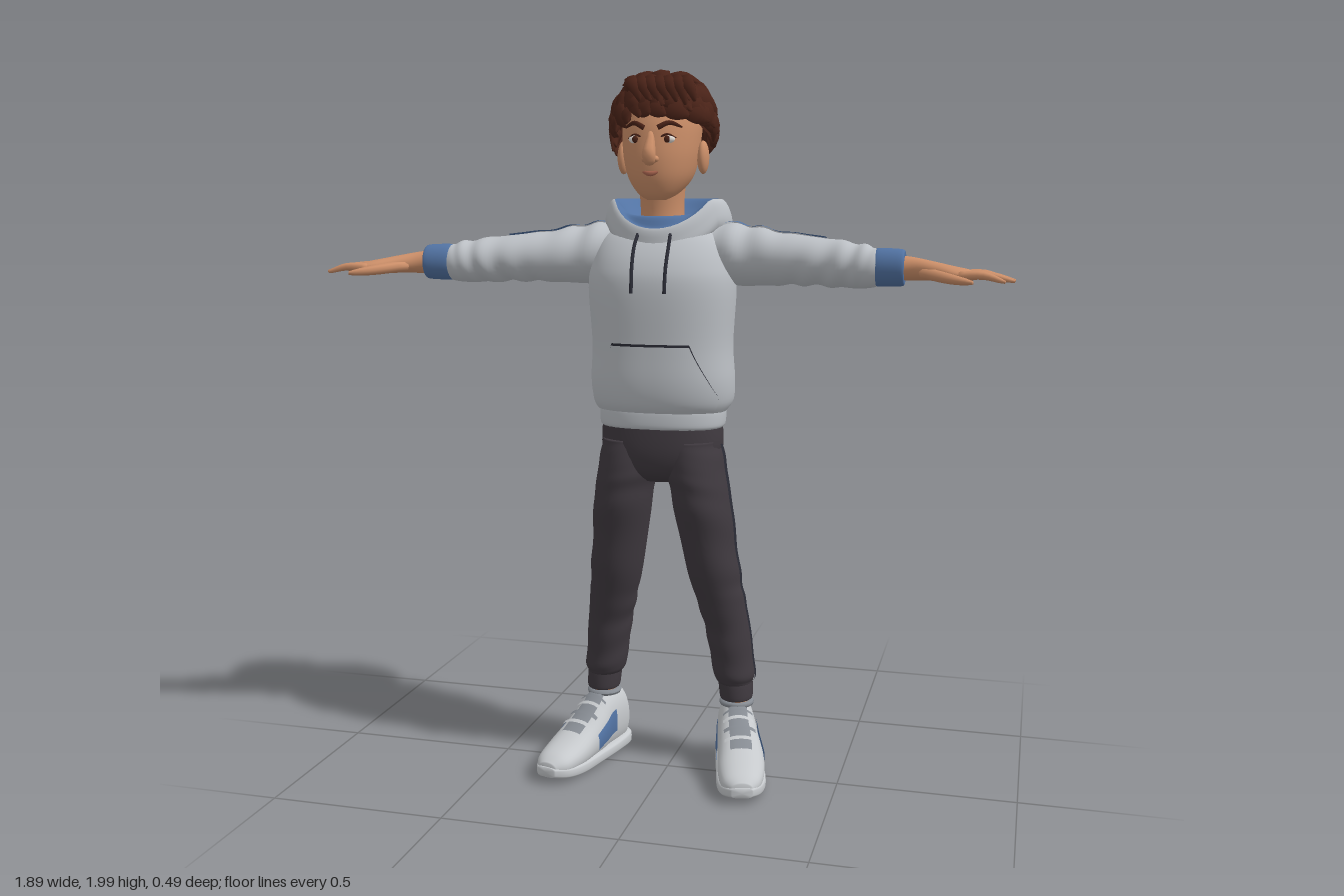
import * as THREE from 'three';
import { mergeGeometries } from 'three/addons/utils/BufferGeometryUtils.js';

const V = (x, y, z) => new THREE.Vector3(x, y, z);
const rad = THREE.MathUtils.degToRad;
const mat = (name, color, side = THREE.FrontSide) => {
  const m = new THREE.MeshStandardMaterial({ color, side });
  m.name = name;
  return m;
};

// Surface from a rule f(t, u); rings may be closed and capped
function grid(nu, nv, closed, caps, f) {
  const pos = [], idx = [], n = closed ? nu : nu + 1;
  for (let j = 0; j <= nv; j++)
    for (let i = 0; i < n; i++) pos.push(...f(j / nv, i / nu).toArray());
  const at = (j, i) => j * n + (closed ? i % nu : i);
  for (let j = 0; j < nv; j++)
    for (let i = 0; i < nu; i++) {
      const a = at(j, i), b = at(j, i + 1), c = at(j + 1, i), d = at(j + 1, i + 1);
      idx.push(a, b, c, b, d, c);
    }
  [0, nv].forEach((j, end) => {
    if (!closed || !caps[end]) return;
    const mid = V(0, 0, 0), k = pos.length / 3;
    for (let i = 0; i < nu; i++) mid.add(V(0, 0, 0).fromArray(pos, at(j, i) * 3));
    pos.push(...mid.divideScalar(nu).toArray());
    for (let i = 0; i < nu; i++)
      end ? idx.push(at(j, i), at(j, i + 1), k) : idx.push(at(j, i + 1), at(j, i), k);
  });
  const g = new THREE.BufferGeometry();
  g.setAttribute('position', new THREE.Float32BufferAttribute(pos, 3));
  g.setIndex(idx);
  g.computeVertexNormals();
  return g;
}

// Smooth loft. Rows: [along axis, centre u, centre v, radius u, radius v]
// u,v are (z,x) for axis y, (y,z) for axis x, (x,y) for axis z
function loft(axis, rows, o = {}) {
  const { p = 2, from = 0, to = rows.length - 1, arc, lift = 0, fold = 0, caps = [1, 1], nu = 32, post } = o;
  const nv = Math.max(2, Math.ceil((to - from) * (fold ? 9 : 5)));
  const row = (t) => {
    const k = Math.min(Math.floor(t), rows.length - 2), s = t - k;
    const R = (i) => rows[THREE.MathUtils.clamp(i, 0, rows.length - 1)];
    return rows[0].map((_, c) => {
      const a = R(k - 1)[c], b = R(k)[c], d = R(k + 1)[c], e = R(k + 2)[c];
      return b + 0.5 * s * (d - a + s * (2 * a - 5 * b + 4 * d - e + s * (3 * (b - d) + e - a)));
    });
  };
  const sp = (x) => Math.sign(x) * Math.abs(x) ** (2 / p);
  return grid(nu, nv, !arc, caps, (tt, uu) => {
    const t = from + (to - from) * tt;
    const [w, cu, cv, ru, rv] = row(t);
    const [a0, a1] = arc ? arc(t).map(rad) : [0, Math.PI * 2];
    const a = a0 + (a1 - a0) * uu;
    const k = 1 + fold * Math.sin(t * 7 + 1.6 * Math.sin(a + t)) * Math.sin(a * 0.5 + t) ** 2;
    const u = cu + (ru * k + lift) * sp(Math.cos(a)), v = cv + (rv * k + lift) * sp(Math.sin(a));
    const q = axis === 'y' ? V(v, w, u) : axis === 'x' ? V(w, u, v) : V(u, v, w);
    if (post) post(q);
    return q;
  });
}

// Tapered strand along a curve: w = half width, h = half thickness
function strand(pts, up, w, h, size = (t) => Math.sqrt(1 - t * t * 0.9), nv = 8, nu = 8) {
  const c = new THREE.CatmullRomCurve3(pts);
  return grid(nu, nv, true, [1, 1], (t, u) => {
    const d = c.getTangent(t), side = d.clone().cross(up).normalize();
    const n = side.clone().cross(d), a = u * Math.PI * 2, s = size(t);
    return c.getPoint(t).addScaledVector(n, Math.cos(a) * h * s).addScaledVector(side, Math.sin(a) * w * s);
  });
}

function ball(x, y, z, sx, sy, sz) {
  return new THREE.SphereGeometry(1, 20, 14).scale(sx, sy, sz).translate(x, y, z);
}

// Mirrored copy across x with corrected winding
function mirrorX(group, name) {
  const out = new THREE.Group();
  out.name = name;
  group.updateMatrixWorld(true);
  group.traverse((m) => {
    if (!m.isMesh) return;
    const g = m.geometry.clone().applyMatrix4(m.matrixWorld).scale(-1, 1, 1);
    const ix = g.index.array;
    for (let i = 0; i < ix.length; i += 3) [ix[i], ix[i + 1]] = [ix[i + 1], ix[i]];
    g.computeVertexNormals();
    const c = new THREE.Mesh(g, m.material);
    c.name = m.name;
    out.add(c);
  });
  return out;
}

export function createModel() {
  const cloth = mat('hoodie grey', 0xbcc0c5), pants = mat('trouser charcoal', 0x403a40);
  const hair = mat('hair brown', 0x4a2318), skin = mat('skin', 0xcc8f69);
  const blue = mat('trim blue', 0x5273a3, THREE.DoubleSide), dark = mat('dark trim', 0x2b2c36);
  const shoe = mat('shoe grey', 0xc6c9cc), lace = mat('lace grey', 0x878c93);
  const white = mat('eye white', 0xe6e0da), lip = mat('lips', 0xab6650);
  const model = new THREE.Group(), body = new THREE.Group();
  model.name = 'youngMan';
  body.name = 'body';
  body.position.x = -0.016;
  model.add(body);
  const add = (parent, name, g, m) => {
    const mesh = new THREE.Mesh(g, m);
    mesh.name = name;
    parent.add(mesh);
    return mesh;
  };
  const part = (name) => Object.assign(new THREE.Group(), { name });
  const UP = V(0, 1, 0), FRONT = V(0, 0, 1);

  // Hoodie body, hem and pocket
  const torso = [[1.06, -.015, 0, .122, .18], [1.09, -.02, 0, .147, .198], [1.15, -.012, 0, .15, .203],
    [1.25, -.008, 0, .148, .198], [1.4, -.005, 0, .15, .207], [1.47, -.012, 0, .142, .2],
    [1.53, -.025, 0, .118, .18], [1.565, -.035, 0, .088, .14], [1.58, -.04, 0, .05, .08]];
  add(body, 'hoodieBody', loft('y', torso, { p: 2.3, nu: 48 }), cloth);
  add(body, 'hoodieHem', loft('y', [[1.015, -.01, 0, .112, .172], [1.025, -.01, 0, .12, .178],
    [1.06, -.012, 0, .122, .18], [1.075, -.012, 0, .118, .175]], { p: 2.3, nu: 48 }), cloth);
  const half = (t) => (t < 1.4 ? 57 : 57 - (t - 1.4) / 1.6 * 28);
  add(body, 'pocketSeam', loft('y', torso, { p: 2.3, from: .3, to: 3.05, lift: .004, arc: (t) => [-half(t) - 1.3, half(t) + 1.3] }), dark);
  add(body, 'pocket', loft('y', torso, { p: 2.3, from: .3, to: 3, lift: .008, arc: (t) => [-half(t), half(t)] }), cloth);

  // Hood lying on the back, with lining
  const hood = [[1.41, -.14, 0, .04, .04], [1.45, -.145, 0, .08, .1], [1.51, -.12, 0, .122, .15],
    [1.57, -.08, 0, .167, .178], [1.62, -.07, 0, .165, .17], [1.645, -.06, 0, .148, .148],
    [1.615, -.045, 0, .115, .115], [1.59, -.03, 0, .08, .085]];
  const drop = (k) => (q) => { q.y -= k * Math.max(0, q.z); };
  add(body, 'hood', loft('y', hood, { to: 5, caps: [1, 0], post: drop(.9), nu: 40 }), cloth);
  add(body, 'hoodLining', loft('y', hood, { from: 5, caps: [0, 1], nu: 40,
    post: (q) => drop(.9 * THREE.MathUtils.smoothstep(q.y, 1.595, 1.645))(q) }), blue);

  // Head and neck
  add(body, 'neck', loft('y', [[1.54, -.005, 0, .066, .064], [1.62, -.005, 0, .062, .06], [1.72, 0, 0, .07, .068]]), skin);
  add(body, 'head', loft('y', [[1.642, .052, 0, .03, .025], [1.66, .035, 0, .066, .055], [1.7, .013, 0, .106, .085],
    [1.75, .004, 0, .121, .1], [1.8, 0, 0, .121, .106], [1.85, -.01, 0, .122, .108],
    [1.9, -.02, 0, .11, .1], [1.95, -.025, 0, .07, .06]], { p: 2.1 }), skin);
  add(body, 'nose', strand([V(0, 1.82, .112), V(0, 1.785, .128), V(0, 1.758, .138), V(0, 1.742, .122)],
    FRONT, .017, .016, (t) => .45 + .65 * Math.sin(t * 2.4)), skin);
  add(body, 'mouth', strand([V(-.034, 1.723, .111), V(0, 1.712, .121), V(.034, 1.723, .111)],
    FRONT, .006, .005, (t) => .2 + Math.sin(t * Math.PI)), lip);
  const face = part('leftFace');
  add(face, 'ear', ball(.113, 1.757, -.012, .016, .045, .028), skin);
  add(face, 'nostril', ball(.014, 1.75, .122, .01, .009, .012), skin);
  add(face, 'eyeWhite', ball(.045, 1.802, .106, .019, .011, .009), white);
  add(face, 'iris', ball(.044, 1.802, .1125, .0085, .0095, .005), hair);
  add(face, 'eyelid', strand([V(.024, 1.807, .112), V(.045, 1.815, .113), V(.067, 1.805, .1)], FRONT, .003, .004), hair);
  add(face, 'eyebrow', strand([V(.019, 1.832, .116), V(.048, 1.845, .106), V(.078, 1.834, .084)], FRONT, .007, .005), hair);
  body.add(face, mirrorX(face, 'rightFace'));

  // Hair: a cap over the skull and layered swept locks
  const dome = (th, ph, l = 0) => V((.135 + l) * Math.sin(th) * Math.sin(ph) ** .9, 1.84 + (.138 + l) * Math.cos(ph),
    -.021 + (.132 + l) * Math.cos(th) * Math.sin(ph) ** .8);
  const line = (th) => rad(70 + 76 * (1 - Math.cos(th)) / 2);
  add(body, 'hairCap', grid(48, 18, true, [0, 1], (t, u) => {
    const th = u * Math.PI * 2, k = 1 - t;
    return dome(th, Math.max(.001, k * line(th)), .004 * Math.sin(th * 11 + k * 5) * k);
  }), hair);
  let seed = 7;
  const rnd = () => (seed = (seed * 16807) % 2147483647) / 2147483647;
  const locks = [];
  for (let layer = 0; layer < 5; layer++) {
    const count = [6, 12, 18, 20, 20][layer];
    for (let i = 0; i < count; i++) {
      const th = (i + .6 * rnd() + layer * .4) / count * Math.PI * 2;
      const end = line(th) + .12 * rnd(), ph = .1 + layer * .2 * end;
      const len = Math.min(.5 + .3 * rnd(), Math.max(.25, end - ph)), tw = .25 + .35 * rnd(), flick = .004 + .016 * rnd();
      const pts = [0, .35, .7, 1].map((s, k) => dome(th + tw * s, ph + len * s, [-.006, .006, .008, flick][k]));
      locks.push(strand(pts, dome(th, ph + .2).sub(V(0, 1.84, -.02)).normalize(), .02 + .01 * rnd(), .011,
        (t) => .15 + .95 * Math.sin(Math.PI * (.2 + .78 * t)), 7, 6));
    }
  }
  for (let i = 0; i < 7; i++) { // raised quiff at the hairline
    const x = -.075 + i * .025;
    locks.push(strand([V(x, 1.925, .05), V(x + .01, 1.955, .085), V(x + .03, 1.935, .108), V(x + .045, 1.885 + .02 * rnd(), .113)],
      V(0, .5, 1), .019, .014, (t) => .2 + .9 * Math.sin(Math.PI * (.25 + .72 * t)), 8, 6));
  }
  add(body, 'hairLocks', mergeGeometries(locks), hair);

  // Arm: sleeve, stripe, cuff, hand
  const arm = part('leftArm');
  const sleeve = [[.1, 1.5, -.045, .072, .085], [.2, 1.493, -.04, .084, .098], [.3, 1.486, -.01, .074, .088],
    [.4, 1.482, .018, .066, .08], [.5, 1.475, .045, .062, .074], [.57, 1.47, .075, .056, .056], [.608, 1.47, .086, .044, .042]];
  add(arm, 'sleeve', loft('x', sleeve, { fold: .06 }), cloth);
  add(arm, 'sleeveStripe', loft('x', sleeve, { fold: .06, from: .3, to: 3.5, lift: .005, nu: 6,
    arc: (t) => [-2 - t * 6, 15 - t * 6] }), blue);
  add(arm, 'cuff', loft('x', [[.592, 1.47, .084, .044, .04], [.6, 1.47, .085, .05, .046], [.66, 1.47, .094, .048, .044],
    [.668, 1.47, .095, .04, .036]]), blue);
  add(arm, 'palm', loft('x', [[.64, 1.47, .092, .034, .034], [.69, 1.468, .1, .03, .033], [.74, 1.464, .118, .025, .042],
    [.79, 1.458, .14, .021, .054], [.83, 1.455, .149, .016, .054], [.845, 1.454, .15, .009, .046]]), skin);
  [[.107, .92, .092], [.135, .945, .13], [.163, .944, .17], [.189, .922, .208]].forEach(([z, x1, z1], i) =>
    add(arm, 'finger' + (i + 1), strand([V(.81, 1.456, z), V(.87, 1.458, (z + z1) / 2), V(x1, 1.443, z1)], UP, .0125, .0115), skin));
  add(arm, 'thumb', strand([V(.72, 1.46, .13), V(.77, 1.452, .188), V(.805, 1.447, .218), V(.845, 1.442, .238)], UP, .018, .015), skin);
  const rightArm = mirrorX(arm, 'rightArm');
  arm.scale.x = 1.013;
  rightArm.scale.x = .987;
  body.add(arm, rightArm);

  // Drawstrings
  const cord = part('leftDrawstring');
  add(cord, 'drawstring', strand([V(.045, 1.555, .08), V(.048, 1.52, .112), V(.047, 1.46, .142), V(.046, 1.395, .152)],
    FRONT, .005, .005, () => 1), dark);
  body.add(cord, mirrorX(cord, 'rightDrawstring'));

  // Trousers
  add(body, 'trouserSeat', loft('y', [[.86, -.01, 0, .06, .07], [.89, -.008, 0, .098, .13], [.95, -.005, 0, .112, .172],
    [1.04, -.006, 0, .11, .17]], { p: 2.2 }), pants);
  const leg = part('leftLeg');
  const legRows = [[.25, -.085, .199, .058, .05], [.28, -.085, .195, .07, .06], [.4, -.075, .18, .075, .064], [.5, -.056, .162, .083, .069],
    [.6, -.034, .143, .093, .075], [.8, -.008, .116, .112, .082], [.9, -.005, .098, .113, .085], [.98, -.005, .09, .1, .08]];
  add(leg, 'trouserLeg', loft('y', legRows, { fold: .03 }), pants);
  add(leg, 'sideStripe', loft('y', legRows, { fold: .03, from: .6, to: 6.8, lift: .004, nu: 4, arc: () => [80, 92] }), dark);
  add(leg, 'trouserCuff', loft('y', [[.2, -.083, .203, .05, .043], [.208, -.083, .203, .056, .048],
    [.25, -.085, .2, .058, .05], [.262, -.085, .198, .055, .048]]), pants);

  // Foot and trainer, turned outwards
  const foot = part('foot');
  foot.position.set(.205, 0, -.08);
  foot.rotation.y = rad(16);
  leg.add(foot);
  const upper = [[-.085, 0, .065, .028, .035], [-.072, 0, .09, .046, .07], [-.05, 0, .1, .053, .094], [.03, 0, .098, .057, .092],
    [.07, 0, .085, .061, .079], [.13, .003, .066, .066, .06], [.2, 0, .053, .066, .045], [.27, -.005, .046, .054, .033], [.303, -.005, .042, .028, .018]];
  add(foot, 'ankle', loft('y', [[.15, -.005, 0, .042, .036], [.23, -.003, 0, .04, .036]]), skin);
  add(foot, 'shoeUpper', loft('z', upper, { p: 2.2 }), shoe);
  add(foot, 'shoeCollar', new THREE.TorusGeometry(.042, .009, 8, 24).rotateX(Math.PI / 2).translate(0, .187, -.006), lace);
  add(foot, 'sole', loft('z', [[-.09, 0, .03, .03, .016], [-.075, 0, .022, .052, .022], [0, 0, .02, .062, .02], [.1, .003, .02, .069, .02],
    [.2, 0, .022, .07, .02], [.27, -.005, .029, .057, .018], [.31, -.005, .036, .028, .014]], { p: 4 }), shoe);
  [[-14, 22], [158, 194]].forEach((a, i) =>
    add(foot, i ? 'innerPanel' : 'outerPanel', loft('z', upper, { p: 2.2, from: 2.8, to: 4.9, lift: .004, nu: 10, arc: () => a }), blue));
  add(foot, 'tongue', loft('z', upper, { p: 2.2, from: 3.2, to: 5.6, lift: .003, nu: 10, arc: () => [66, 114] }), lace);
  for (let i = 0; i < 4; i++) {
    const f = 3.5 + i * .5;
    add(foot, 'lace' + (i + 1), loft('z', upper, { p: 2.2, from: f, to: f + .17, lift: .007, nu: 10, arc: () => [52, 128] }), i % 2 ? shoe : lace);
  }
  body.add(leg, mirrorX(leg, 'rightLeg'));
  return model;
}
